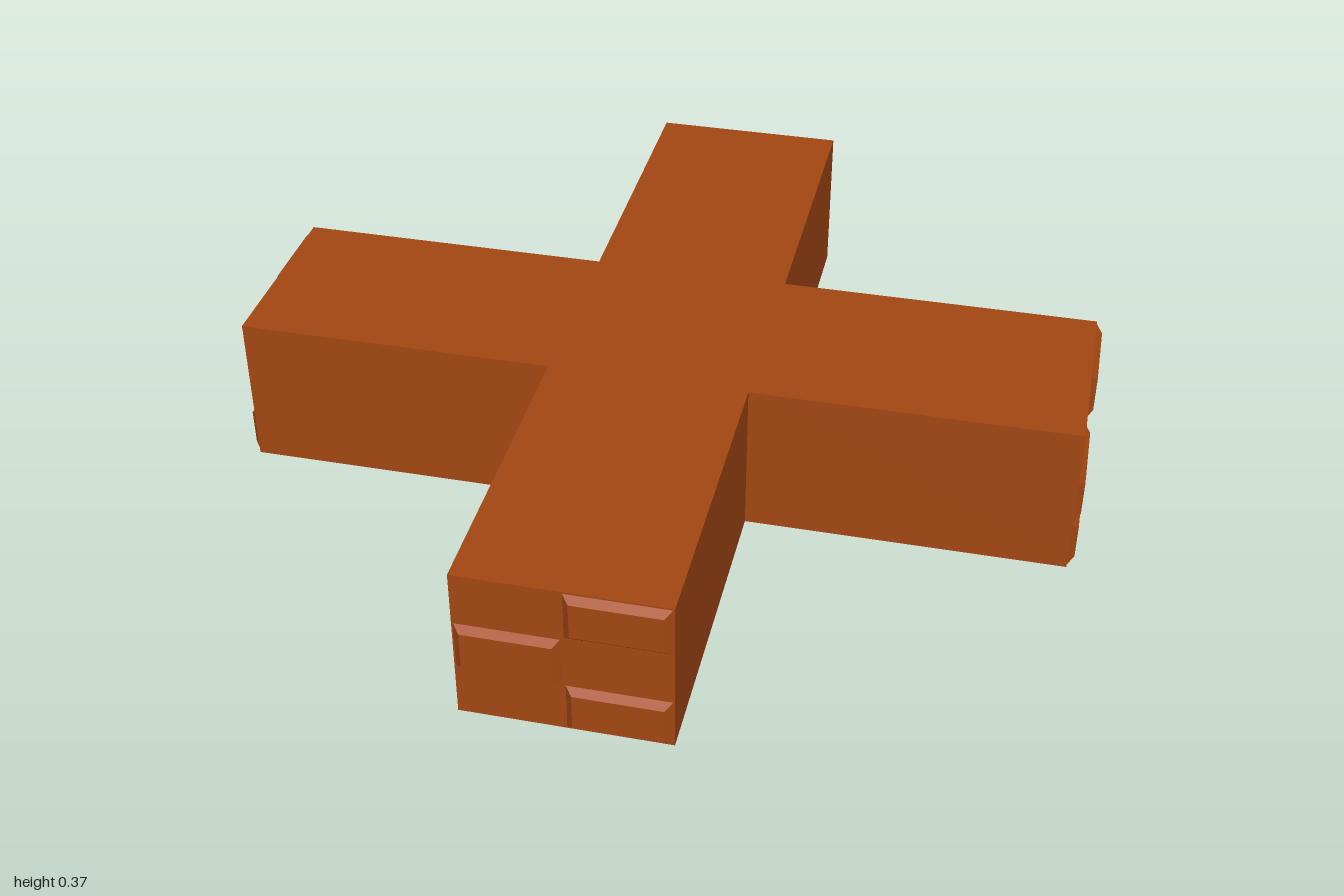
import * as THREE from 'three';

const HALF = 0.234;   // half width of an arm
const HEIGHT = 0.373;
const REACH = 0.985;  // arm length without the raised studs
const ROW = HEIGHT / 3;

// Bevelled block: a box whose outer (+z) face is drawn in
function studGeometry() {
  const w = HALF - 0.008, h = ROW - 0.008, d = 0.015, bevel = 0.015;
  const geo = new THREE.BoxGeometry(w, h, d).toNonIndexed();
  const p = geo.attributes.position;
  for (let i = 0; i < p.count; i++) {
    if (p.getZ(i) > 0) {
      p.setX(i, p.getX(i) - Math.sign(p.getX(i)) * bevel);
      p.setY(i, p.getY(i) - Math.sign(p.getY(i)) * bevel);
    }
  }
  geo.translate(0, 0, d / 2);
  geo.computeVertexNormals();
  return geo;
}

export function createModel() {
  const group = new THREE.Group();
  const material = new THREE.MeshStandardMaterial({ color: 0xa54814, flatShading: true });

  // Cross-shaped wall, drawn one quarter turn at a time
  const outline = [];
  for (let i = 0; i < 4; i++) {
    for (const [x, y] of [[REACH, -HALF], [REACH, HALF], [HALF, HALF]]) {
      outline.push(new THREE.Vector2(x, y).rotateAround(new THREE.Vector2(), i * Math.PI / 2));
    }
  }
  const wallGeo = new THREE.ExtrudeGeometry(new THREE.Shape(outline), { depth: HEIGHT, bevelEnabled: false });
  wallGeo.rotateX(-Math.PI / 2);
  const wall = new THREE.Mesh(wallGeo, material);
  wall.name = 'crossWall';
  group.add(wall);

  // Raised brick ends: [column, row], seen facing each arm end (0 = left / bottom)
  const ends = [
    { name: 'frontEnd', turn: 0, studs: [[1, 2], [0, 1], [1, 0]] },
    { name: 'leftEnd', turn: Math.PI / 2, studs: [[1, 2], [0, 1], [0, 0]] },
    { name: 'backEnd', turn: Math.PI, studs: [[0, 2], [1, 2], [1, 1]] },
    { name: 'rightEnd', turn: -Math.PI / 2, studs: [[0, 2], [1, 0]] },
  ];
  const studGeo = studGeometry();
  for (const { name, turn, studs } of ends) {
    const end = new THREE.Group();
    end.name = name;
    end.rotation.y = turn;
    for (const [col, row] of studs) {
      const stud = new THREE.Mesh(studGeo, material);
      stud.name = 'brickEnd';
      stud.position.set((col - 0.5) * HALF, (row + 0.5) * ROW, REACH);
      end.add(stud);
    }
    group.add(end);
  }
  return group;
}
